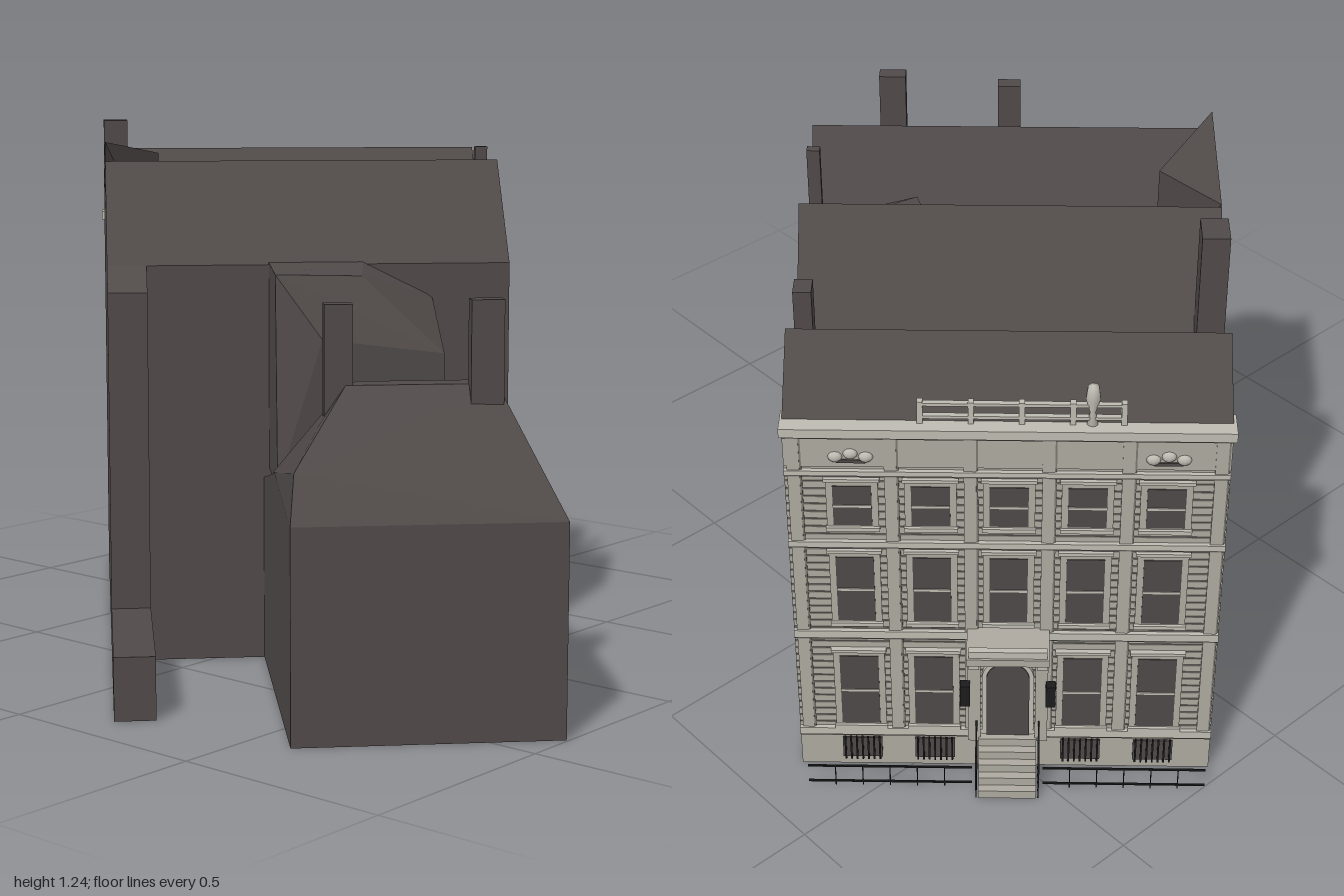
import * as THREE from 'three';
import { ConvexGeometry } from 'three/addons/geometries/ConvexGeometry.js';

const mat = (name, color) => Object.assign(new THREE.MeshStandardMaterial({ color }), { name });

// Removes each triangle whose three corners all satisfy one of the rules (s, w, y)
function dropFaces(geometry, rules) {
  const p = geometry.getAttribute('position');
  const index = [];
  for (let i = 0; i < p.count; i += 3) {
    const corners = [i, i + 1, i + 2];
    const open = rules.some(rule => corners.every(k => rule(p.getX(k), -p.getZ(k), p.getY(k))));
    if (!open) index.push(...corners);
  }
  geometry.clearGroups();
  geometry.setIndex(index);
  return geometry;
}
const near = (a, b) => Math.abs(a - b) < 1e-4;

export function createModel() {
  const brick = mat('dark brick', 0x504a49);
  brick.side = THREE.DoubleSide; // the walls are an open shell
  const stone = mat('pale stone', 0xaeaaa0);
  const trim = mat('light trim', 0xbfbcb2);
  const groove = mat('stone joint', 0x7c7871);
  const glass = mat('window glass', 0x4e4948);
  const iron = mat('black iron', 0x1c1c1c);

  // Local frame: s runs along the street front, w runs back from it
  const house = new THREE.Group();
  house.name = 'townhouse';
  house.rotation.y = Math.PI - 0.757;
  house.position.set(0.86, 0, -0.32);

  const add = (name, material, geometry) => {
    const mesh = new THREE.Mesh(geometry, material);
    mesh.name = name;
    house.add(mesh);
    return mesh;
  };
  const box = (name, material, s0, s1, y0, y1, w0, w1) => {
    const g = new THREE.BoxGeometry(s1 - s0, y1 - y0, w1 - w0);
    g.translate((s0 + s1) / 2, (y0 + y1) / 2, -(w0 + w1) / 2);
    return add(name, material, g);
  };
  // Side profile in (w, y), swept along s, with faces left open by rules
  const sweep = (name, material, profile, s0, s1, open = []) => {
    const shape = new THREE.Shape(profile.map(p => new THREE.Vector2(...p)));
    const g = new THREE.ExtrudeGeometry(shape, { depth: s1 - s0, bevelEnabled: false });
    g.rotateY(Math.PI / 2);
    g.translate(s0, 0, 0);
    return add(name, material, dropFaces(g, open));
  };
  // Faceted solid around (s, w, y) points
  const hull = (name, material, points, open = []) => {
    const g = new ConvexGeometry(points.map(([s, w, y]) => new THREE.Vector3(s, y, -w)));
    return add(name, material, dropFaces(g, open));
  };

  // Main block with its row of gables, open below and into the rear wing
  const split = 0.573, back = 1.09;
  const floor = (s, w, y) => near(y, 0);
  const atSplit = s => near(s, split);
  const atBack = (s, w, y) => near(w, back) && y < 0.44;
  const gables = [
    [0, 0], [back, 0], [back, 0.43], [back, 0.925], [0.91, 1.155], [0.755, 0.9],
    [0.54, 1.17], [0.33, 0.91], [0.16, 1.1], [0, 0.97],
  ];
  sweep('mainBlock', brick, gables, 0, split, [floor, atSplit, atBack]);
  sweep('mainBlock', brick, gables, split, 0.93, [floor, atSplit]);
  hull('farParapet', brick, [
    [0.93, 0.55, 1.17], [0.93, 0.91, 1.2], [0.8, 0.7, 1.165],
    [0.93, 0.75, 0.85], [0.8, 0.72, 0.92],
  ]);
  hull('valleyDormer', brick, [
    [0.12, 0.67, 1.06], [0.12, 0.79, 1.0], [0.28, 0.65, 1.06], [0.25, 0.75, 1.06],
    [0.12, 0.75, 0.88], [0.28, 0.75, 0.88],
  ]);

  // Rear wing, its hipped roof, the link tower, corner pier and yard wall
  sweep('rearWing', brick, [[back, 0], [1.81, 0], [1.81, 0.46], [1.42, 0.5], [back, 0.43]], 0, split,
    [floor, atBack, (s, w, y) => y > 0.45]);
  hull('rearWingRoof', brick, [
    [0, 1.81, 0.46], [split, 1.81, 0.46], [0, 1.42, 0.5], [split, 1.36, 0.49],
    [0.12, 1.62, 0.72], [0.44, 1.62, 0.72], [0.17, 1.56, 0.72], [0.41, 1.56, 0.72],
    [0.5, 1.65, 0.64], [0.56, 1.75, 0.56],
  ], [(s, w, y) => y < 0.505]);
  hull('linkTower', brick, [
    [0.18, 1.08, 0.45], [0.18, 1.3, 0.45], [0.56, 1.08, 0.45], [0.56, 1.33, 0.45],
    [0.18, 1.08, 0.85], [0.18, 1.28, 0.74], [0.34, 1.08, 0.93], [0.36, 1.22, 0.91],
    [0.56, 1.08, 0.93], [0.56, 1.28, 0.92], [0.46, 1.33, 0.78],
  ]);
  sweep('cornerPier', brick, [[back, 0], [1.155, 0], [1.155, 0.87], [back, 0.925]], 0.84, 0.93,
    [floor, s => near(s, back)]);
  box('yardWall', brick, 0.84, 0.93, 0, 0.14, 1.155, 1.585);

  // Chimneys: s, w, width, depth, base, top
  [
    [0.9, 0.35, 0.06, 0.08, 0.85, 1.235],
    [0.025, 0.305, 0.04, 0.05, 0.85, 1.11],
    [0.015, 0.76, 0.03, 0.02, 0.85, 1.18],
    [0.145, 1.63, 0.07, 0.04, 0.5, 0.9],
    [0.455, 1.6, 0.06, 0.04, 0.5, 0.89],
  ].forEach(([s, w, a, b, y0, y1]) =>
    box('chimney', brick, s - a / 2, s + a / 2, y0, y1, w - b / 2, w + b / 2));

  // Street front: stone skin, coursed joints, pilasters and bands
  box('streetFront', stone, 0, 0.93, 0, 0.96, -0.006, -0.001);
  for (let y = 0.13; y < 0.86; y += 0.0205) box('stoneJoint', groove, 0, 0.93, y, y + 0.004, -0.008, -0.005);
  const bays = [0.14, 0.305, 0.47, 0.635, 0.8];
  [0.02, 0.222, 0.388, 0.552, 0.718, 0.91].forEach(s => {
    box('pilaster', stone, s - 0.013, s + 0.013, 0.11, 0.95, -0.012, -0.005);
    box('pilasterJoint', groove, s + 0.013, s + 0.017, 0.11, 0.95, -0.01, -0.005);
  });
  [[0.1, 0.12], [0.395, 0.415], [0.655, 0.67], [0.85, 0.862]].forEach(([y0, y1]) => {
    box('stringCourse', trim, 0, 0.93, y0, y1, -0.016, -0.005);
    box('stringCourseJoint', groove, 0, 0.93, y0 - 0.005, y0, -0.013, -0.005);
  });
  box('frieze', stone, 0, 0.93, 0.87, 0.945, -0.01, -0.005);
  box('corniceBed', groove, 0, 0.93, 0.945, 0.956, -0.014, -0.005);
  box('cornice', trim, -0.005, 0.937, 0.956, 0.978, -0.026, 0.04);

  // Windows: surround, dark pane, sash bar, sill and head
  const windowAt = (s, y0, y1, width) => {
    const h = width / 2;
    box('windowSurround', stone, s - h - 0.014, s + h + 0.014, y0 - 0.01, y1 + 0.015, -0.011, -0.005);
    box('windowPane', glass, s - h, s + h, y0, y1, -0.013, -0.01);
    box('sashBar', trim, s - h, s + h, (y0 + y1) / 2 - 0.003, (y0 + y1) / 2 + 0.003, -0.015, -0.01);
    box('windowSill', trim, s - h - 0.016, s + h + 0.016, y0 - 0.014, y0 - 0.004, -0.018, -0.005);
    box('windowHead', trim, s - h - 0.018, s + h + 0.018, y1 + 0.014, y1 + 0.022, -0.018, -0.005);
  };
  bays.forEach((s, i) => {
    windowAt(s, 0.445, 0.625, 0.082);
    windowAt(s, 0.715, 0.82, 0.082);
    if (i === 2) return;
    windowAt(s, 0.135, 0.338, 0.086);
    // Barred basement window
    box('basementWindow', glass, s - 0.045, s + 0.045, 0.025, 0.085, -0.01, -0.005);
    for (let k = -3; k <= 3; k++)
      box('basementBar', iron, s + k * 0.013 - 0.002, s + k * 0.013 + 0.002, 0.02, 0.09, -0.014, -0.01);
  });
  // Frieze ornaments in the outer bays
  [bays[0], bays[4]].forEach(s => {
    for (let k = -1; k <= 1; k++) {
      const g = new THREE.SphereGeometry(0.013, 8, 6);
      g.scale(1.2, 1, 0.7);
      g.translate(s + k * 0.032, 0.905 - Math.abs(k) * 0.008, 0.01);
      add('friezeOrnament', trim, g);
    }
    box('friezeVent', glass, s - 0.03, s + 0.03, 0.882, 0.89, -0.013, -0.009);
  });

  // Entrance: arched door, pilasters, balcony slab and steps
  const arch = (name, material, r, y0, y1, front) => {
    const shape = new THREE.Shape();
    shape.moveTo(-r, y0);
    shape.lineTo(r, y0);
    shape.lineTo(r, y1);
    shape.absarc(0, y1, r, 0, Math.PI);
    const g = new THREE.ExtrudeGeometry(shape, { depth: front - 0.005, bevelEnabled: false, curveSegments: 10 });
    g.translate(0.47, 0, 0.005);
    add(name, material, g);
  };
  arch('doorSurround', trim, 0.058, 0.11, 0.28, 0.018);
  arch('door', glass, 0.048, 0.11, 0.28, 0.021);
  [0.395, 0.545].forEach(s => {
    box('porchPilaster', stone, s - 0.014, s + 0.014, 0.1, 0.4, -0.03, -0.005);
    box('porchBracket', trim, s - 0.012, s + 0.012, 0.375, 0.405, -0.09, -0.005);
  });
  box('balconySlab', stone, 0.38, 0.56, 0.403, 0.422, -0.11, -0.005);
  box('balconyRail', trim, 0.385, 0.555, 0.422, 0.44, -0.105, -0.09);
  [0.375, 0.565].forEach(s => box('lantern', iron, s - 0.011, s + 0.011, 0.225, 0.285, -0.05, -0.028));
  for (let i = 0; i < 5; i++)
    box('step', stone, 0.405, 0.535, 0, 0.11 - i * 0.022, -0.035 - i * 0.019, -0.005 - i * 0.019);

  // Iron railings along the pavement and beside the steps
  [[0.02, 0.39], [0.55, 0.917]].forEach(([s0, s1]) => {
    for (const y of [0.01, 0.057]) box('fenceRail', iron, s0, s1, y, y + 0.004, -0.076, -0.072);
    for (let k = 1; k < 6; k++) {
      const s = s0 + (s1 - s0) * k / 6;
      box('fencePost', iron, s - 0.0012, s + 0.0012, 0, 0.062, -0.0752, -0.0728);
    }
  });
  [0.4, 0.54].forEach(s => {
    sweep('stairRail', iron, [[-0.115, 0.072], [-0.015, 0.172], [-0.015, 0.178], [-0.115, 0.078]], s - 0.002, s + 0.002);
    for (let i = 0; i < 5; i++) {
      const w = -0.02 - i * 0.022;
      box('stairBaluster', iron, s - 0.0015, s + 0.0015, 0, 0.193 + w, w - 0.0015, w + 0.0015);
    }
  });

  // Roof balustrade with a small urn
  for (const y of [0.99, 1.022]) box('roofRail', trim, 0.28, 0.71, y, y + 0.007, 0.0, 0.012);
  for (let i = 0; i <= 4; i++) {
    const s = 0.285 + i * 0.105;
    box('roofRailPost', trim, s - 0.006, s + 0.006, 0.975, 1.032, 0, 0.014);
  }
  const urn = new THREE.LatheGeometry(
    [[0, 0], [0.012, 0], [0.006, 0.03], [0.016, 0.065], [0.012, 0.095], [0, 0.1]].map(p => new THREE.Vector2(...p)), 10);
  urn.translate(0.64, 0.978, -0.006);
  add('roofUrn', trim, urn);

  const root = new THREE.Group();
  root.name = 'model';
  root.add(house);
  return root;
}
